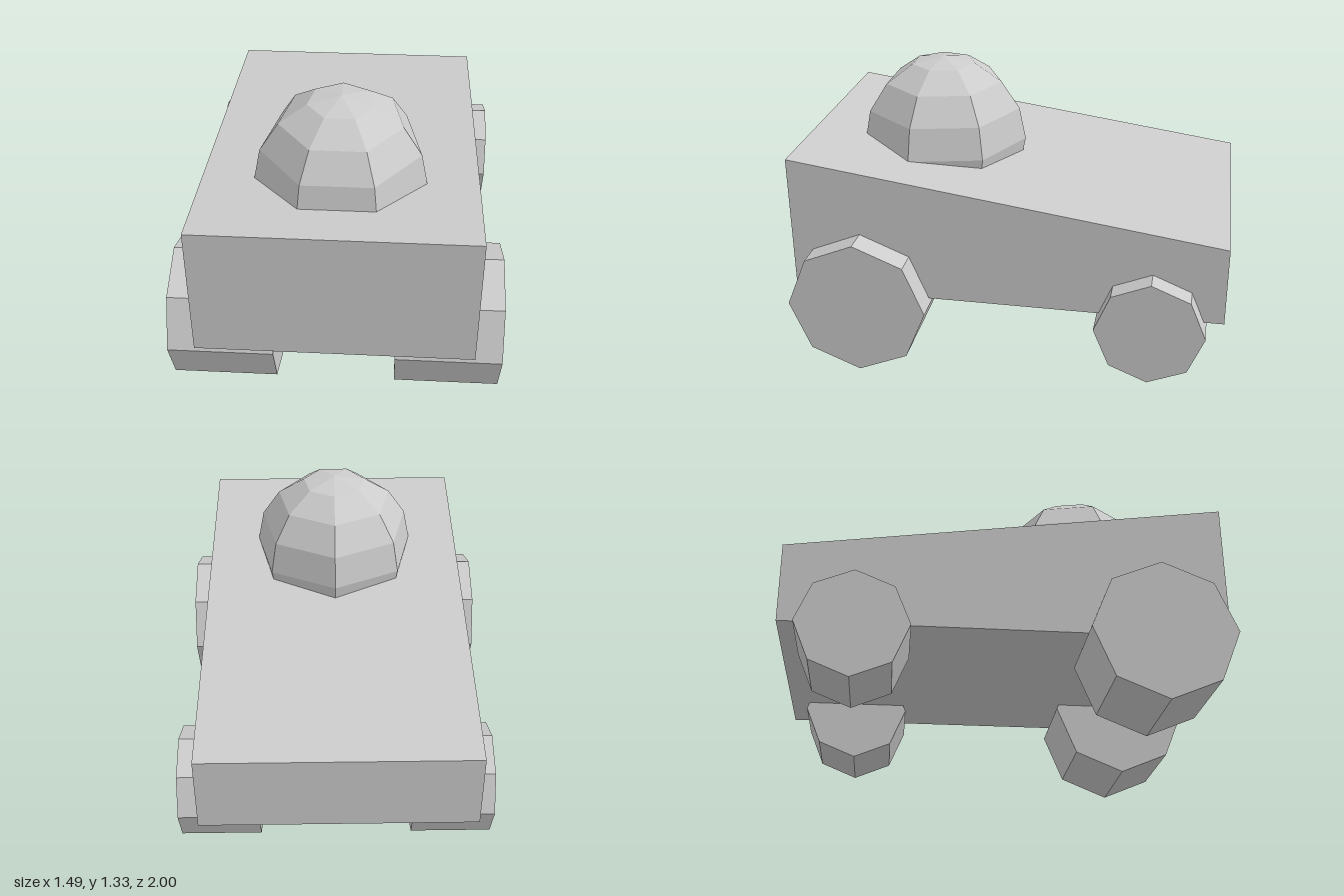
import * as THREE from 'three';

const material = new THREE.MeshStandardMaterial({ color: 0xcccccc, flatShading: true });

function addPart(group, name, geometry, x, y, z) {
  const mesh = new THREE.Mesh(geometry, material);
  mesh.name = name;
  mesh.position.set(x, y, z);
  group.add(mesh);
}

// Eight-sided wheel lying along x, one corner pointing up
function wheelGeometry(radius, width) {
  return new THREE.CylinderGeometry(radius, radius, width, 8).rotateZ(Math.PI / 2);
}

export function createModel() {
  const model = new THREE.Group();
  model.name = 'toyCar';

  // Wedge body: side profile (z, y) extruded across the width
  const width = 1.25;
  const profile = new THREE.Shape([
    [-1, 0.345], [1, 0.345], [1, 1], [-1, 0.715],
  ].map(([z, y]) => new THREE.Vector2(-z, y)));
  const body = new THREE.ExtrudeGeometry(profile, { depth: width, bevelEnabled: false });
  body.translate(0, 0, -width / 2).rotateY(Math.PI / 2);
  addPart(model, 'body', body, 0, 0, 0);

  // Seven-sided dome, sunk to its middle in the body, corner to the rear
  const dome = new THREE.SphereGeometry(0.4, 7, 8, -Math.PI / 2);
  addPart(model, 'dome', dome, 0, 0.925, 0.408);

  // Large front wheels and smaller rear wheels
  const front = wheelGeometry(0.325, 0.476);
  const rear = wheelGeometry(0.25, 0.368);
  addPart(model, 'frontLeftWheel', front, 0.508, 0.325, 0.675);
  addPart(model, 'frontRightWheel', front, -0.51, 0.325, 0.675);
  addPart(model, 'rearLeftWheel', rear, 0.541, 0.315, -0.672);
  addPart(model, 'rearRightWheel', rear, -0.521, 0.315, -0.672);

  return model;
}
